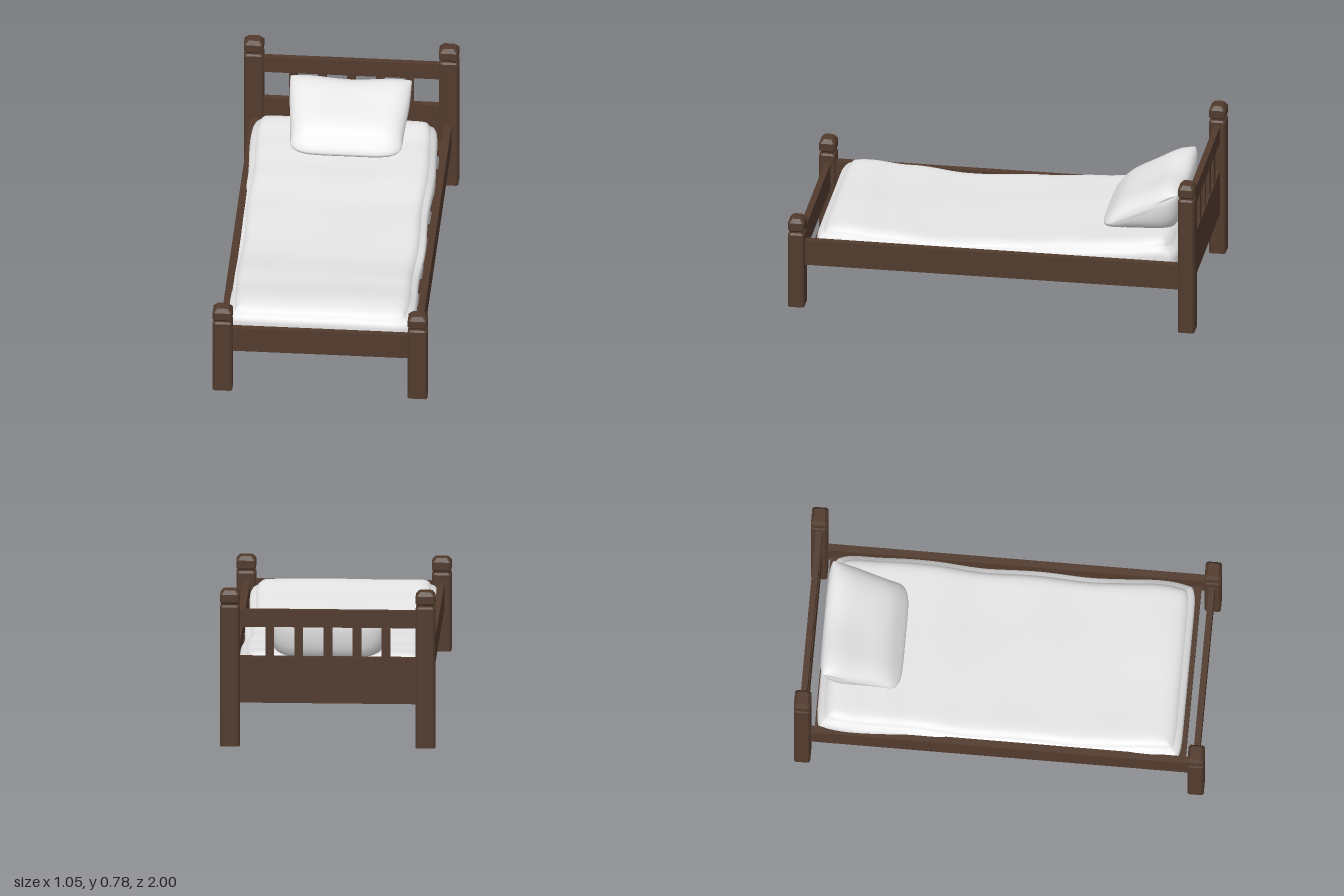
import * as THREE from 'three';
import { mergeVertices } from 'three/addons/utils/BufferGeometryUtils.js';

// Skin a list of rings (each counterclockwise seen from the far end), with both ends closed.
function loft(rings, flat) {
  const n = rings[0].length, last = (rings.length - 1) * n, index = [];
  for (let i = 0; i < rings.length - 1; i++) {
    for (let j = 0; j < n; j++) {
      const a = i * n + j, b = i * n + (j + 1) % n;
      index.push(a, b, b + n, a, b + n, a + n);
    }
  }
  for (let j = 1; j < n - 1; j++) index.push(0, j + 1, j, last, last + j, last + j + 1);
  let g = new THREE.BufferGeometry();
  g.setAttribute('position', new THREE.Float32BufferAttribute(rings.flat(2), 3));
  g.setIndex(index);
  if (flat) g = g.toNonIndexed();
  g.computeVertexNormals();
  return g;
}

// Smooth interpolation through [position, value] pairs.
function profile(points, t) {
  for (let i = 1; i < points.length; i++) {
    const [t0, v0] = points[i - 1], [t1, v1] = points[i];
    if (t <= t1) return v0 + (v1 - v0) * THREE.MathUtils.smoothstep(t, t0, t1);
  }
  return points[points.length - 1][1];
}

// Post with chamfered corners, a neck groove and a bevelled cap.
function postGeometry(height) {
  const steps = [
    [0, 0], [height - 0.083, 0], [height - 0.074, 0.007], [height - 0.066, 0.007],
    [height - 0.058, 0], [height - 0.02, 0], [height, 0.014],
  ];
  return loft(steps.map(([y, inset]) => {
    const w = 0.0475 - inset, d = 0.04 - inset, c = 0.009;
    return [[w, d - c], [w, c - d], [w - c, -d], [c - w, -d],
      [-w, c - d], [-w, d - c], [c - w, d], [w - c, d]].map(([x, z]) => [x, y, z]);
  }), true);
}

// Soft mattress: a box with rounded sides, following a height profile from head to foot.
function mattressGeometry() {
  const g = new THREE.BoxGeometry(2, 1, 2, 36, 8, 60);
  g.deleteAttribute('normal');
  g.deleteAttribute('uv');
  const geo = mergeVertices(g), p = geo.attributes.position;
  const heights = [[-0.9, 0.405], [-0.8, 0.43], [-0.62, 0.41], [-0.4, 0.395], [-0.1, 0.37],
    [0.3, 0.355], [0.55, 0.375], [0.75, 0.395], [0.9, 0.385]];
  for (let i = 0; i < p.count; i++) {
    const u = Math.sin(p.getX(i) * Math.PI / 2), v = Math.sin(p.getZ(i) * Math.PI / 2);
    const t = p.getY(i) + 0.5;
    const inset = 0.03 * (2 * t - 1) ** 4;
    const corner = u > 0 && v < 0 ? 0.06 : 0.035;
    let x = u * (0.457 - inset) * (1 - corner * Math.abs(v) ** 14);
    let z = v * (0.89 - inset) * (1 - corner * 0.6 * Math.abs(u) ** 14);
    const edge = Math.max(Math.abs(u) ** 24, Math.abs(v) ** 40);
    const top = profile(heights, z) - 0.03 * edge
      + 0.003 * Math.sin(9 * x + 5 * z) * Math.sin(7 * z - 3 * x);
    x += 0.005 * Math.sin(11 * z) * u * u - 0.014;
    p.setXYZ(i, x, 0.262 + (top - 0.262) * t, z - 0.008);
  }
  geo.computeVertexNormals();
  return geo;
}

// Pillow: a plump wedge section that thins to a slanted seam at both ends.
function pillowGeometry() {
  const section = new THREE.CatmullRomCurve3([
    [-0.5, 0.415], [-0.68, 0.4], [-0.85, 0.415], [-0.895, 0.53], [-0.888, 0.615],
    [-0.83, 0.638], [-0.7, 0.59], [-0.59, 0.535], [-0.535, 0.48],
  ].map(([z, y]) => new THREE.Vector3(0, y, z)), true).getPoints(40).slice(0, 40);
  const seam = new THREE.Line3(new THREE.Vector3(0, 0.45, -0.56), new THREE.Vector3(0, 0.62, -0.875));
  const rings = [], on = new THREE.Vector3(), q = new THREE.Vector3();
  for (let i = 0; i <= 32; i++) {
    const u = Math.sin((i / 16 - 1) * Math.PI / 2);
    const plump = 0.06 + 0.94 * Math.pow(Math.max(0, 1 - u ** 6), 0.55);
    rings.push(section.map((s) => {
      seam.closestPointToPoint(s, true, on);
      q.lerpVectors(on, s, plump);
      const half = 0.272 + 0.024 * THREE.MathUtils.smoothstep(-q.z, 0.55, 0.85);
      const dent = 0.008 * Math.cos(u * 4) * THREE.MathUtils.smoothstep(q.y, 0.55, 0.64);
      return [u * half + 0.005, q.y - dent, q.z];
    }));
  }
  return loft(rings, false);
}

export function createModel() {
  const wood = new THREE.MeshStandardMaterial({ color: 0x523b2e });
  wood.name = 'darkWood';
  const linen = new THREE.MeshStandardMaterial({ color: 0xe6e6e6 });
  linen.name = 'whiteLinen';

  const bed = new THREE.Group();
  bed.name = 'bed';
  const add = (name, geometry, material, x = 0, y = 0, z = 0) => {
    const mesh = new THREE.Mesh(geometry, material);
    mesh.name = name;
    mesh.position.set(x, y, z);
    bed.add(mesh);
  };
  // Board given by its centre in x and z and its bottom and top heights.
  const board = (name, w, d, y0, y1, x, z) =>
    add(name, new THREE.BoxGeometry(w, y1 - y0, d), wood, x, (y0 + y1) / 2, z);

  // Posts and long side rails
  for (const side of [-1, 1]) {
    const label = side > 0 ? 'left' : 'right';
    add(label + 'HeadPost', postGeometry(0.78), wood, side * 0.4755, 0, -0.96);
    add(label + 'FootPost', postGeometry(0.465), wood, side * 0.4755, 0, 0.96);
    board(label + 'SideRail', 0.035, 1.85, 0.215, 0.345, side * 0.4725, 0);
  }

  // Footboard and headboard
  board('footRail', 0.88, 0.03, 0.215, 0.345, 0, 0.957);
  board('headPanel', 0.88, 0.03, 0.215, 0.445, 0, -0.96);
  board('headTopRail', 0.88, 0.03, 0.595, 0.68, 0, -0.96);
  for (let i = -2; i <= 2; i++) board('headSpindle', 0.042, 0.024, 0.44, 0.6, i * 0.143 * 0.99, -0.96);

  // Slats under the mattress
  for (let i = 0; i < 8; i++) board('slat', 0.92, 0.08, 0.228, 0.262, 0, -0.865 + i * 0.2471);

  // Bedding
  add('mattress', mattressGeometry(), linen);
  add('pillow', pillowGeometry(), linen);
  return bed;
}
